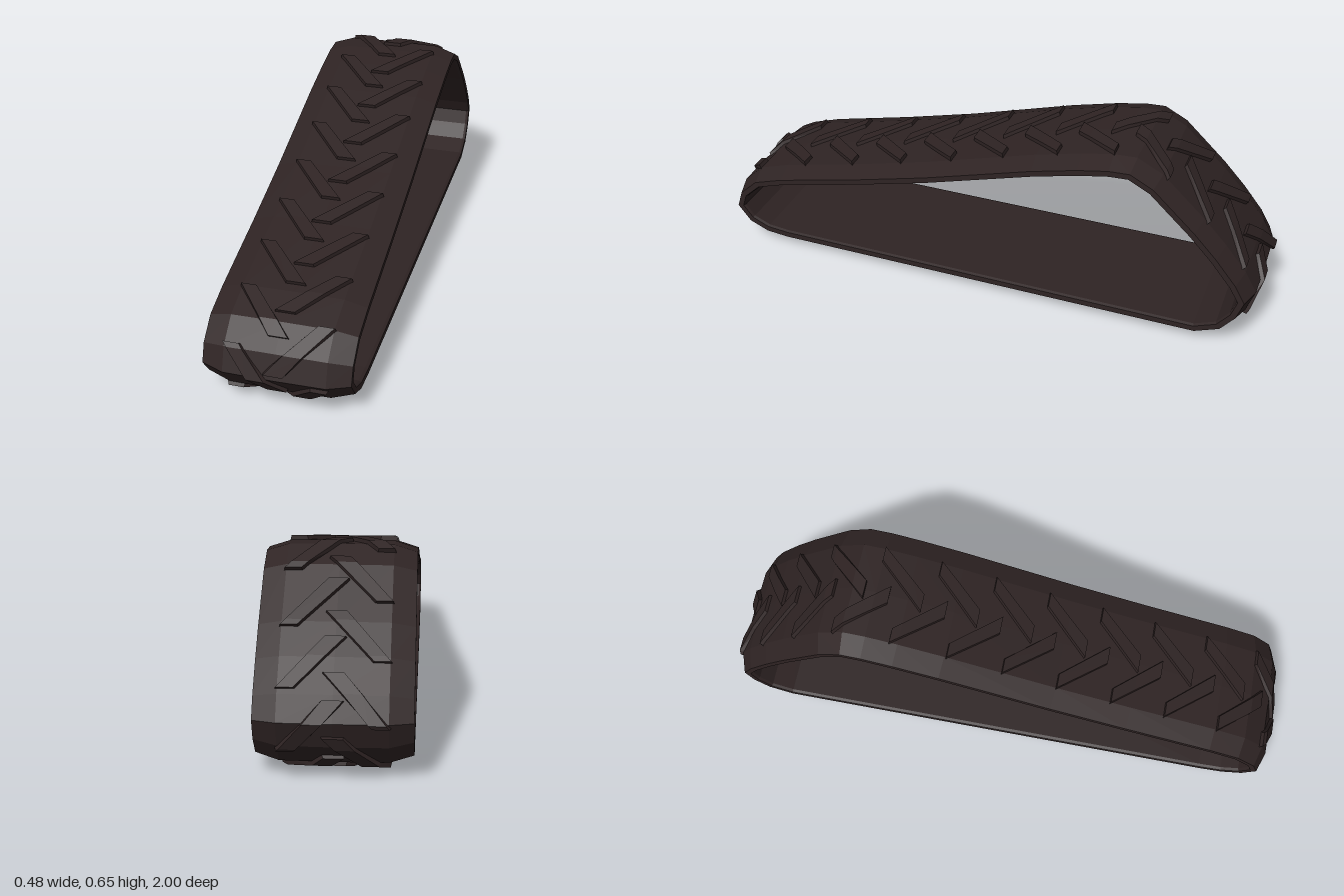
import * as THREE from 'three';

// Loop path of the belt's outer face as [z, y]: down the front, back along the ground, up and over
const PATH = [
  [0.885, 0.278], [0.96, 0.21], [0.987, 0.13], [0.93, 0.055], [0.85, 0.02], [0.76, 0.012],
  [-0.81, 0.012], [-0.905, 0.05], [-0.96, 0.118], [-0.988, 0.2], [-0.945, 0.275], [-0.87, 0.367],
  [-0.79, 0.452], [-0.64, 0.592], [-0.55, 0.638], [-0.47, 0.634], [-0.36, 0.613], [-0.2, 0.573],
  [0.19, 0.458], [0.46, 0.388], [0.77, 0.315],
];
const N = PATH.length;
const edge = (i) => {
  const a = PATH[(i + N) % N], b = PATH[(i + 1) % N];
  const dz = b[0] - a[0], dy = b[1] - a[1], len = Math.hypot(dz, dy);
  return { len, n: [-dy / len, dz / len] };
};

// Path vertices with mitred outward normals, and their distance along the loop
const stations = [];
let total = 0;
for (let i = 0; i < N; i++) {
  const p = edge(i - 1).n, q = edge(i).n;
  const k = 1 + p[0] * q[0] + p[1] * q[1];
  stations.push({ s: total, p: PATH[i], n: [(p[0] + q[0]) / k, (p[1] + q[1]) / k] });
  total += edge(i).len;
}

// Point and normal at any distance along the loop
function frameAt(s) {
  s = ((s % total) + total) % total;
  let i = N - 1;
  while (stations[i].s > s) i--;
  const a = stations[i], b = stations[(i + 1) % N];
  const t = (s - a.s) / edge(i).len;
  const mix = (u, v) => [u[0] + (v[0] - u[0]) * t, u[1] + (v[1] - u[1]) * t];
  return { p: mix(a.p, b.p), n: mix(a.n, b.n) };
}

// Place an [x, height] section (counter-clockwise) on the path
const ring = (f, section) => section.map(([x, h]) =>
  [x, f.p[1] + f.n[1] * h, f.p[0] + f.n[0] * h]);

// Skin a row of rings, either closed into a loop or capped at both ends
function loft(rings, closed) {
  const pos = [];
  const tri = (a, b, c) => pos.push(...a, ...b, ...c);
  const m = rings[0].length;
  const last = closed ? rings.length : rings.length - 1;
  for (let i = 0; i < last; i++) {
    const r = rings[i], q = rings[(i + 1) % rings.length];
    for (let j = 0; j < m; j++) {
      const k = (j + 1) % m;
      tri(r[j], r[k], q[k]);
      tri(r[j], q[k], q[j]);
    }
  }
  if (!closed) {
    const a = rings[0], b = rings[rings.length - 1];
    for (let j = 1; j < m - 1; j++) {
      tri(a[0], a[j + 1], a[j]);
      tri(b[0], b[j], b[j + 1]);
    }
  }
  const geo = new THREE.BufferGeometry();
  geo.setAttribute('position', new THREE.Float32BufferAttribute(pos, 3));
  geo.computeVertexNormals();
  return geo;
}

// One slanted tread bar, bent over the belt; side is +1 (left) or -1 (right)
function treadBar(start, side) {
  const LENGTH = 0.165, HEIGHT = 0.012, BEVEL = 0.004;
  const cuts = [0, LENGTH];
  for (const st of stations) {
    for (const s of [st.s, st.s + total]) {
      if (s > start + 0.002 && s < start + LENGTH - 0.002) cuts.push(s - start);
    }
  }
  cuts.sort((a, b) => a - b);
  const rings = cuts.map((c) => {
    const t = c / LENGTH;
    const ends = [side * (0.113 - 0.148 * t), side * (0.172 - 0.137 * t)];
    const lo = Math.min(...ends), hi = Math.max(...ends);
    return ring(frameAt(start + c), [
      [lo, -0.006], [hi, -0.006], [hi - BEVEL, HEIGHT], [lo + BEVEL, HEIGHT],
    ]);
  });
  return loft(rings, false);
}

export function createModel() {
  const group = new THREE.Group();
  const rubber = new THREE.MeshStandardMaterial({ color: 0x2e2323 });
  rubber.name = 'darkRubber';
  rubber.flatShading = true;

  // Belt with a flat crown and sloping shoulders
  const W = 0.238;
  const section = [
    [-W, -0.045], [-W + 0.01, -0.049], [W - 0.01, -0.049], [W, -0.045],
    [W, -0.025], [0.165, -0.002], [0, 0], [-0.165, -0.002], [-W, -0.025],
  ];
  const belt = new THREE.Mesh(loft(stations.map((f) => ring(f, section)), true), rubber);
  belt.name = 'belt';
  group.add(belt);

  // Staggered chevron treads all the way round
  const treads = new THREE.Group();
  treads.name = 'treads';
  const count = Math.round(total / 0.205);
  for (let i = 0; i < count; i++) {
    for (const side of [1, -1]) {
      const start = (i * total) / count + (side > 0 ? 0 : 0.085);
      const bar = new THREE.Mesh(treadBar(start, side), rubber);
      bar.name = side > 0 ? 'leftTreadBar' : 'rightTreadBar';
      treads.add(bar);
    }
  }
  group.add(treads);
  return group;
}
